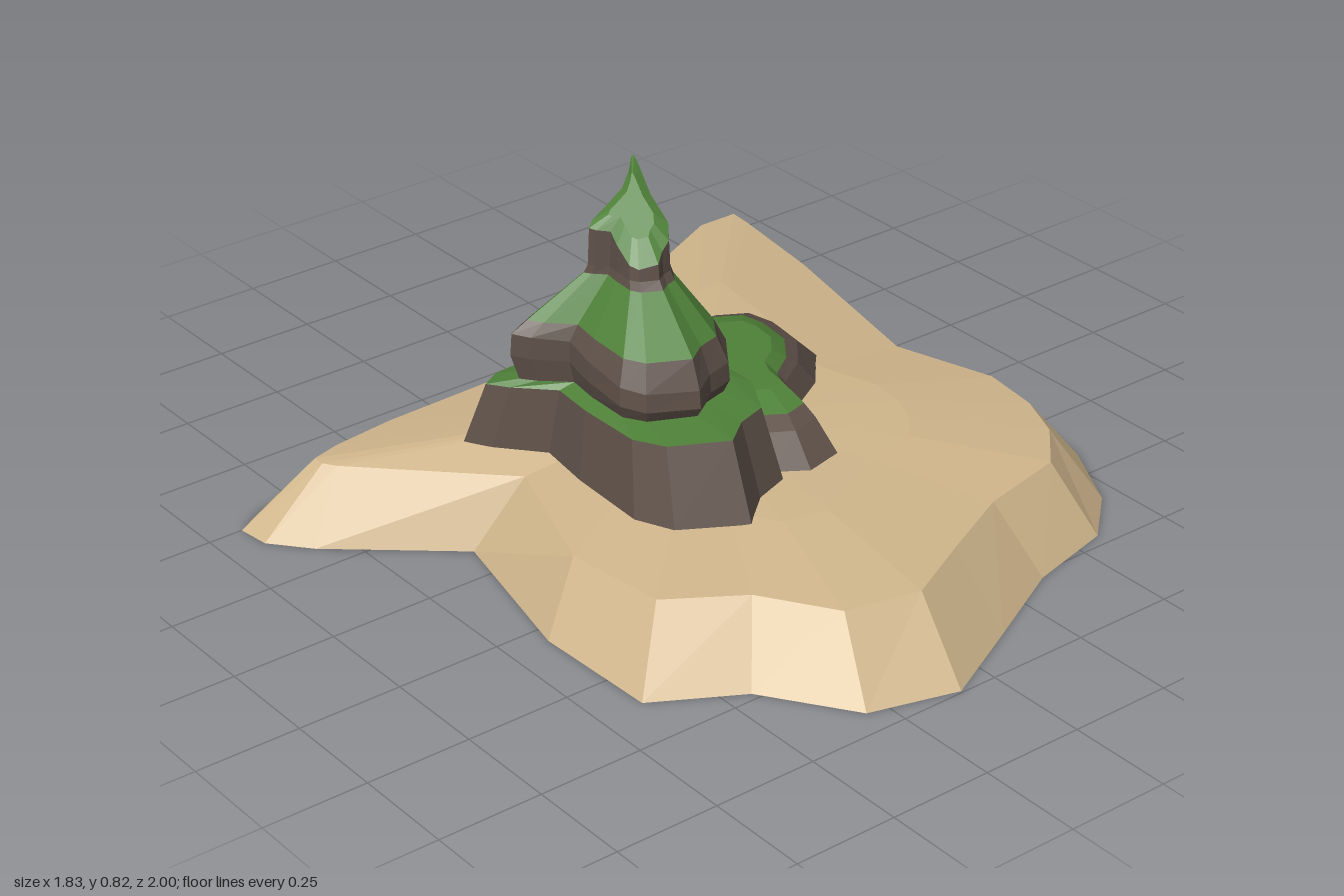
import * as THREE from 'three';

const SAND = 0xd0b68c, ROCK = 0x5f5149, GRASS = 0x4f8239;

// Outlines as [x, z] loops, running clockwise seen from above
const shore = [
  [0.91, -1], [0.91, -0.8], [0.8, -0.5], [0.72, -0.04], [0.82, 0.28],
  [0.795, 0.42], [0.7, 0.6], [0.575, 0.715], [0.355, 0.77], [0.13, 0.885],
  [-0.09, 0.995], [-0.3, 0.935], [-0.44, 0.73], [-0.64, 0.615], [-0.65, 0.3],
  [-0.56, -0.1], [-0.83, -0.33], [-0.905, -0.42], [-0.915, -0.5], [-0.83, -0.55],
  [-0.635, -0.58], [0.03, -0.6], [0.28, -0.665], [0.6, -0.9], [0.78, -1],
];
const beachRim = [
  [0.775, -0.83], [0.77, -0.77], [0.73, -0.5], [0.625, -0.03], [0.7, 0.22],
  [0.68, 0.37], [0.63, 0.49], [0.53, 0.6], [0.31, 0.65], [0.12, 0.74],
  [-0.06, 0.83], [-0.24, 0.79], [-0.35, 0.62], [-0.52, 0.51], [-0.55, 0.26],
  [-0.43, -0.08], [-0.73, -0.38], [-0.75, -0.41], [-0.75, -0.44], [-0.68, -0.46],
  [-0.52, -0.48], [0.04, -0.5], [0.24, -0.55], [0.5, -0.75], [0.67, -0.83],
];
const crag = [
  [-0.42, -0.285], [-0.25, -0.3], [-0.09, -0.32], [0.03, -0.4], [0.11, -0.485],
  [0.13, -0.475], [0.12, -0.4], [0.06, -0.1], [0.045, 0.21], [-0.03, 0.34],
  [-0.12, 0.37], [-0.2, 0.435], [-0.345, 0.35], [-0.385, 0.26], [-0.375, 0.05],
  [-0.355, -0.09], [-0.44, -0.19], [-0.475, -0.25],
];
const mound = [
  [0, -0.2], [0.1, -0.3], [0.21, -0.365], [0.32, -0.35], [0.41, -0.3],
  [0.43, -0.21], [0.41, -0.07], [0.32, 0.04], [0.21, 0.11], [0.165, 0.2],
  [0.14, 0.33], [0.04, 0.355], [-0.04, 0.31], [-0.1, 0.05],
];

// Scale an outline about a centre and lift it to a height, which may tilt in x and z
function ring(outline, [cx, cz], sx, sz, y, tiltX = 0, tiltZ = 0) {
  return outline.map(([x, z]) => {
    const dx = (x - cx) * sx, dz = (z - cz) * sz;
    return new THREE.Vector3(cx + dx, y + dx * tiltX + dz * tiltZ, cz + dz);
  });
}

// Skin a stack of rings from the bottom up, optionally closing the top
function loft(name, color, rings, capped = false) {
  const n = rings[0].length, index = [];
  const points = rings.flat();
  for (let r = 0; r < rings.length - 1; r++) {
    for (let i = 0; i < n; i++) {
      const a = r * n + i, b = r * n + (i + 1) % n;
      index.push(a, a + n, b, b, a + n, b + n);
    }
  }
  if (capped) {
    const top = rings[rings.length - 1], start = (rings.length - 1) * n;
    const centre = top.reduce((s, p) => s.add(p), new THREE.Vector3()).divideScalar(n);
    points.push(centre);
    for (let i = 0; i < n; i++) index.push(start + i, points.length - 1, start + (i + 1) % n);
  }
  const geometry = new THREE.BufferGeometry().setFromPoints(points);
  geometry.setIndex(index);
  geometry.computeVertexNormals();
  const mesh = new THREE.Mesh(geometry, new THREE.MeshStandardMaterial({
    color, flatShading: true, side: THREE.DoubleSide,
  }));
  mesh.name = name;
  return mesh;
}

export function createModel() {
  const island = new THREE.Group();
  island.name = 'island';

  // Sandy shell with a flat underside recessed to the rim
  const o = [0, 0];
  island.add(loft('beach', SAND, [
    ring(shore, o, 1, 1, 0.01),
    ring(beachRim, o, 1, 1, 0.165),
    ring(beachRim, o, 0.6, 0.6, 0.2),
    ring(beachRim, o, 0.3, 0.3, 0.206),
  ], true));
  island.add(loft('underside', SAND, [
    ring(beachRim, o, 1, 1, 0.164),
    ring(beachRim, o, 0.3, 0.3, 0.164),
  ], true));

  // Terraced crag: every tier repeats the same outline, smaller
  const c = [-0.17, -0.04];
  const tier = (...args) => ring(crag, c, ...args);
  const ledgeEdge = tier(0.86, 0.85, 0.35, 0, 0.05);
  const ledgeInner = tier(0.69, 0.58, 0.365, 0, 0.03);
  island.add(loft('lowerCliff', ROCK, [tier(1, 1, 0.195), ledgeEdge]));
  island.add(loft('grassLedge', GRASS, [ledgeEdge, ledgeInner]));

  // Leaning spire shares the outline about its own centre
  const s = [-0.15, -0.04];
  const spireRing = (...args) => ring(crag, s, ...args);
  const shoulder = tier(0.63, 0.54, 0.505);
  const slopeTop = spireRing(0.3, 0.26, 0.61);
  island.add(loft('middleCliff', ROCK, [
    ledgeInner,
    tier(0.75, 0.61, 0.415, 0, -0.06),
    tier(0.74, 0.6, 0.465, 0, -0.09),
    shoulder,
  ]));
  island.add(loft('grassSlope', GRASS, [shoulder, slopeTop]));

  const spireRim = spireRing(0.27, 0.22, 0.735, 0.5, -0.6);
  island.add(loft('spire', ROCK, [slopeTop, spireRing(0.28, 0.23, 0.63), spireRim]));
  island.add(loft('spireGrass', GRASS, [spireRim, spireRing(0.15, 0.13, 0.755, 0.5, -0.6)], true));

  // Low mound running in under the crag
  const m = [0.13, -0.03];
  const moundRim = ring(mound, m, 0.75, 0.77, 0.262);
  const moundEdge = ring(mound, m, 0.6, 0.66, 0.282);
  island.add(loft('moundRock', ROCK, [ring(mound, m, 1, 1, 0.195), moundRim, moundEdge]));
  island.add(loft('moundGrass', GRASS, [moundEdge, ring(mound, m, 0.43, 0.45, 0.306)], true));

  return island;
}
